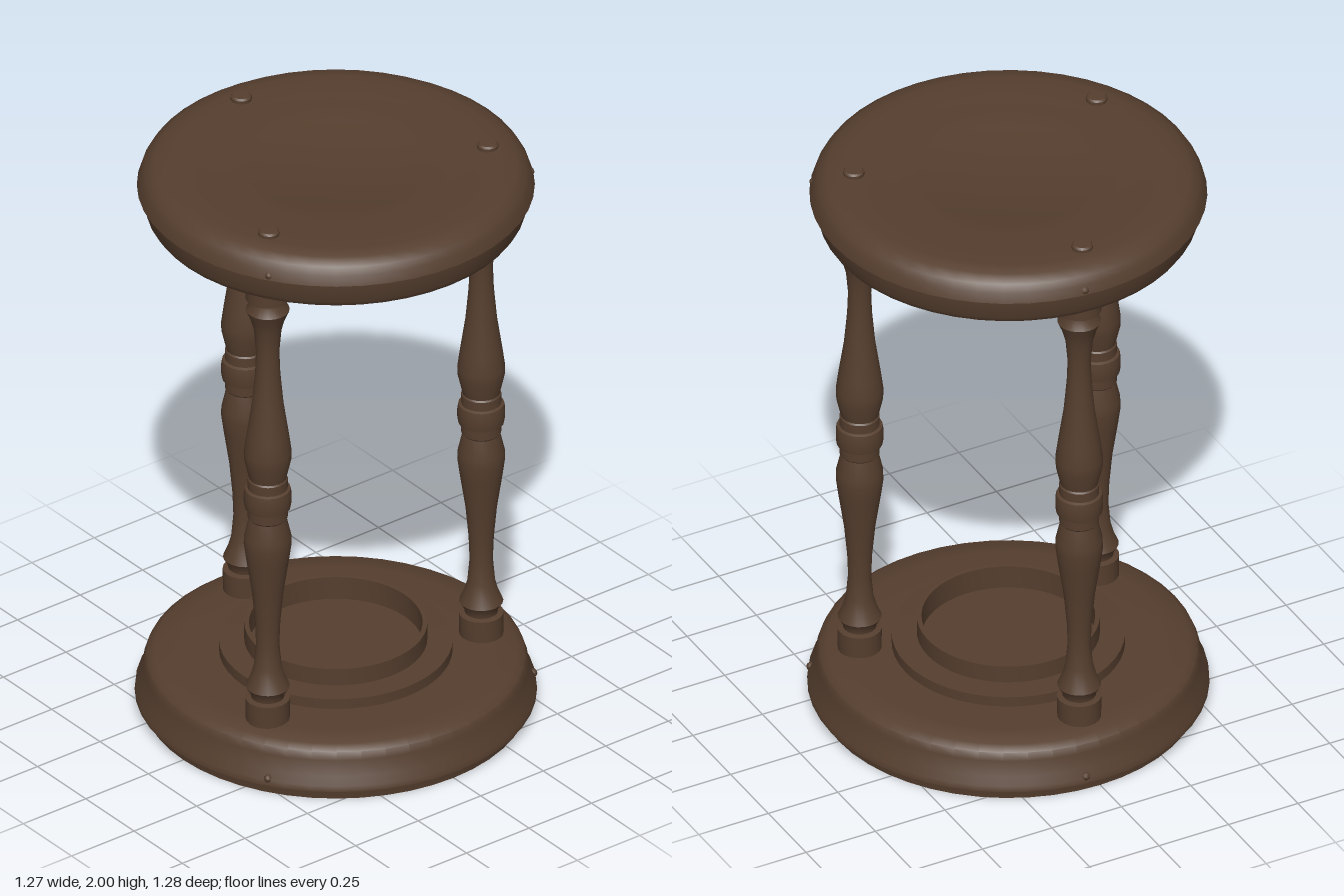
import * as THREE from 'three';
import { toCreasedNormals } from 'three/addons/utils/BufferGeometryUtils.js';

export function createModel() {
  const model = new THREE.Group();
  model.name = 'hourglassStand';
  const wood = new THREE.MeshStandardMaterial({ color: 0x553e2e });
  wood.name = 'darkWood';

  // Turned part from [radius, height] pairs, listed from bottom to top
  const turned = (name, profile, sides) => {
    const points = profile.map(([r, y]) => new THREE.Vector2(r, y));
    const geometry = toCreasedNormals(new THREE.LatheGeometry(points, sides), 0.6);
    const mesh = new THREE.Mesh(geometry, wood);
    mesh.name = name;
    return mesh;
  };

  // Base: moulded edge, low step and a raised hollow ring that holds the glass
  model.add(turned('base', [
    [0, 0], [0.61, 0], [0.615, 0.035], [0.637, 0.04], [0.635, 0.06], [0.617, 0.085],
    [0.61, 0.14], [0.6, 0.165], [0.575, 0.182], [0.5, 0.187], [0.37, 0.187],
    [0.37, 0.222], [0.29, 0.225], [0.29, 0.285], [0.275, 0.285], [0.275, 0.205], [0, 0.205],
  ], 48));

  // Top: matching ring and step underneath, gently dished upper face
  model.add(turned('top', [
    [0, 1.785], [0.275, 1.785], [0.29, 1.70], [0.29, 1.77], [0.37, 1.772], [0.37, 1.808],
    [0.59, 1.81], [0.603, 1.83], [0.605, 1.9], [0.63, 1.903], [0.62, 1.935], [0.605, 1.96],
    [0.575, 1.98], [0.53, 1.985], [0.43, 1.982], [0.36, 1.974], [0.3, 1.976],
    [0.285, 1.972], [0, 1.972],
  ], 48));

  // Lower half of a column; the upper half mirrors it about y = 1
  const half = [
    [0.07, 0.18], [0.071, 0.262], [0.053, 0.266], [0.055, 0.28], [0.07, 0.305],
    [0.055, 0.34], [0.044, 0.38], [0.037, 0.46], [0.04, 0.54], [0.05, 0.65],
    [0.068, 0.77], [0.076, 0.83], [0.075, 0.86], [0.06, 0.925], [0.064, 0.93],
    [0.064, 0.962], [0.073, 0.966], [0.076, 0.985],
  ];
  const columnProfile = [...half, ...half.map(([r, y]) => [r, 2 - y]).reverse()];

  const nailGeometry = new THREE.SphereGeometry(0.014, 8, 6);
  const spots = [[-0.427, 0.2], [0.427, 0.2], [0, -0.47]];
  const nails = [[-0.53, 0.335], [0.53, 0.335], [0.06, -0.625]];
  spots.forEach(([x, z], i) => {
    const column = turned('column', columnProfile, 20);
    column.position.set(x, 0, z);
    model.add(column);

    // Peg end showing through the top
    const peg = turned('peg', [[0.034, 1.95], [0.034, 1.994], [0.028, 2], [0, 2]], 12);
    peg.position.set(x * 1.025, 0, z + Math.sign(z) * 0.02);
    model.add(peg);

    // Small nails in the rims
    for (const [y, scale] of [[0.062, 1], [1.915, 0.985]]) {
      const nail = new THREE.Mesh(nailGeometry, wood);
      nail.name = 'nail';
      nail.position.set(nails[i][0] * scale, y, nails[i][1] * scale);
      model.add(nail);
    }
  });

  return model;
}
